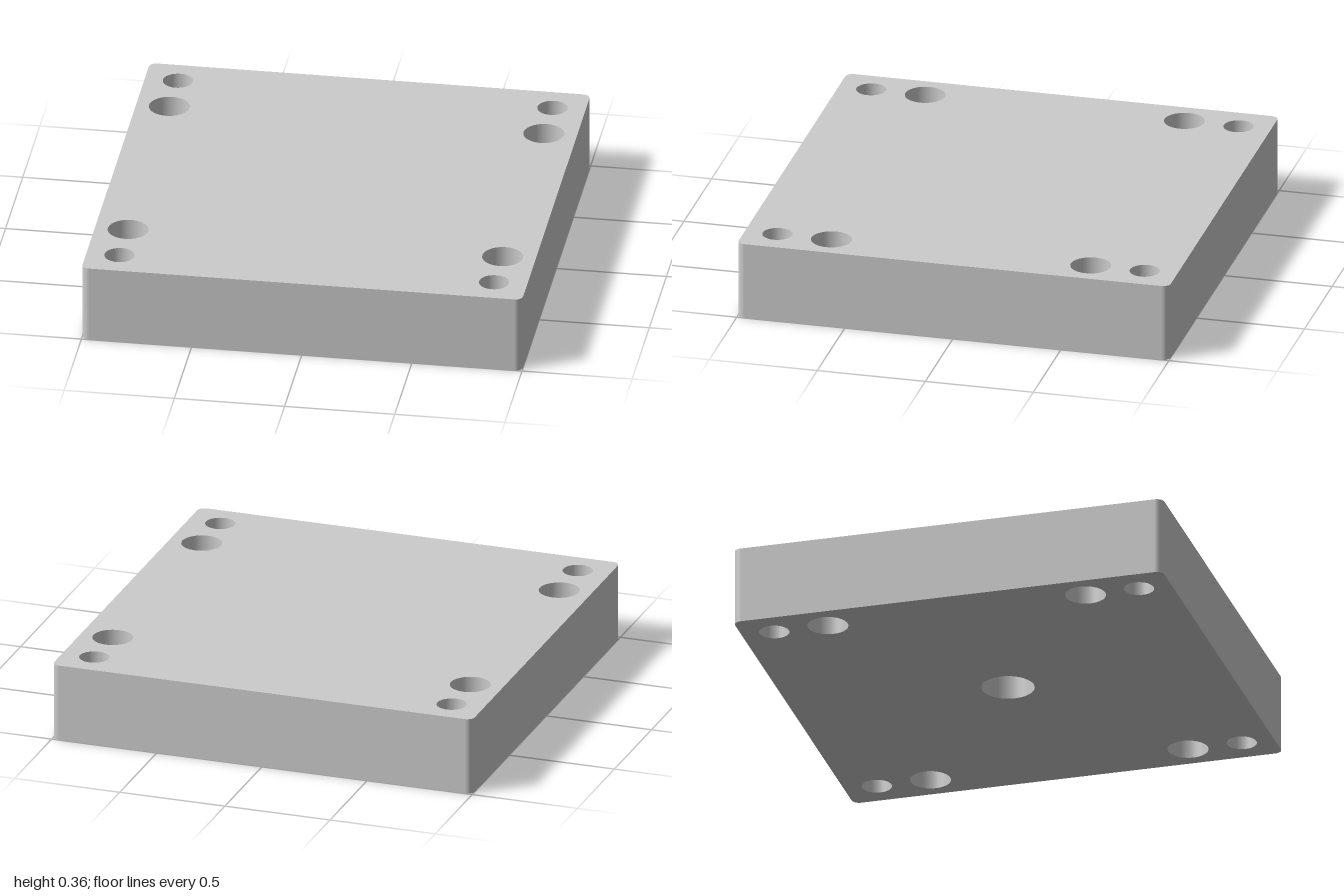
import * as THREE from 'three';
import { mergeGeometries } from 'three/addons/utils/BufferGeometryUtils.js';

const HEIGHT = 0.36, HALF = 1, CORNER = 0.035, SEGMENTS = 48;
const CENTRE_RADIUS = 0.12, CENTRE_DEPTH = 0.24;

// Through holes: a small and a large one near each corner
const throughHoles = [];
for (const sx of [-1, 1]) for (const sz of [-1, 1]) {
  throughHoles.push({ x: sx * 0.85, z: sz * 0.85, r: 0.068 });
  throughHoles.push({ x: sx * 0.85, z: sz * 0.6, r: 0.092 });
}

// Rounded square face with round openings
function faceGeometry(holes) {
  const shape = new THREE.Shape();
  const c = HALF - CORNER;
  [[c, c], [-c, c], [-c, -c], [c, -c]].forEach(([x, y], i) =>
    shape.absarc(x, y, CORNER, i * Math.PI / 2, (i + 1) * Math.PI / 2, false));
  shape.closePath();
  for (const { x, z, r } of holes) {
    const path = new THREE.Path();
    path.absarc(x, z, r, 0, Math.PI * 2, true);
    shape.holes.push(path);
  }
  return new THREE.ShapeGeometry(shape, SEGMENTS / 2);
}

// Inward-facing cylindrical wall rising from the underside
function boreGeometry(r, depth) {
  return new THREE.LatheGeometry([new THREE.Vector2(r, depth), new THREE.Vector2(r, 0)], SEGMENTS);
}

export function createModel() {
  const model = new THREE.Group();
  model.name = 'mountingPlate';
  const material = new THREE.MeshStandardMaterial({ color: 0xcccccc });
  const add = (name, geometry, x = 0, y = 0, z = 0) => {
    const mesh = new THREE.Mesh(geometry, material);
    mesh.name = name;
    mesh.position.set(x, y, z);
    model.add(mesh);
  };

  // Top and bottom faces; only the bottom is pierced by the centre recess
  add('topFace', faceGeometry(throughHoles).rotateX(-Math.PI / 2), 0, HEIGHT, 0);
  const centreHole = { x: 0, z: 0, r: CENTRE_RADIUS };
  add('bottomFace', faceGeometry([...throughHoles, centreHole]).rotateX(Math.PI / 2));

  // Outer wall: four flat sides joined by rounded corners
  const walls = [];
  const c = HALF - CORNER;
  for (let i = 0; i < 4; i++) {
    const side = new THREE.PlaneGeometry(2 * c, HEIGHT).translate(0, 0, HALF);
    const corner = new THREE.CylinderGeometry(CORNER, CORNER, HEIGHT, SEGMENTS, 1, true, 0, Math.PI / 2)
      .translate(c, 0, c);
    for (const g of [side, corner]) walls.push(g.rotateY(i * Math.PI / 2));
  }
  add('outerWall', mergeGeometries(walls), 0, HEIGHT / 2, 0);

  // Walls of the through holes
  for (const { x, z, r } of throughHoles) {
    add(r > 0.08 ? 'largeHole' : 'smallHole', boreGeometry(r, HEIGHT), x, 0, z);
  }

  // Blind recess in the middle of the underside
  add('centreRecessWall', boreGeometry(CENTRE_RADIUS, CENTRE_DEPTH));
  add('centreRecessFloor', new THREE.CircleGeometry(CENTRE_RADIUS, SEGMENTS).rotateX(Math.PI / 2), 0, CENTRE_DEPTH, 0);

  return model;
}
